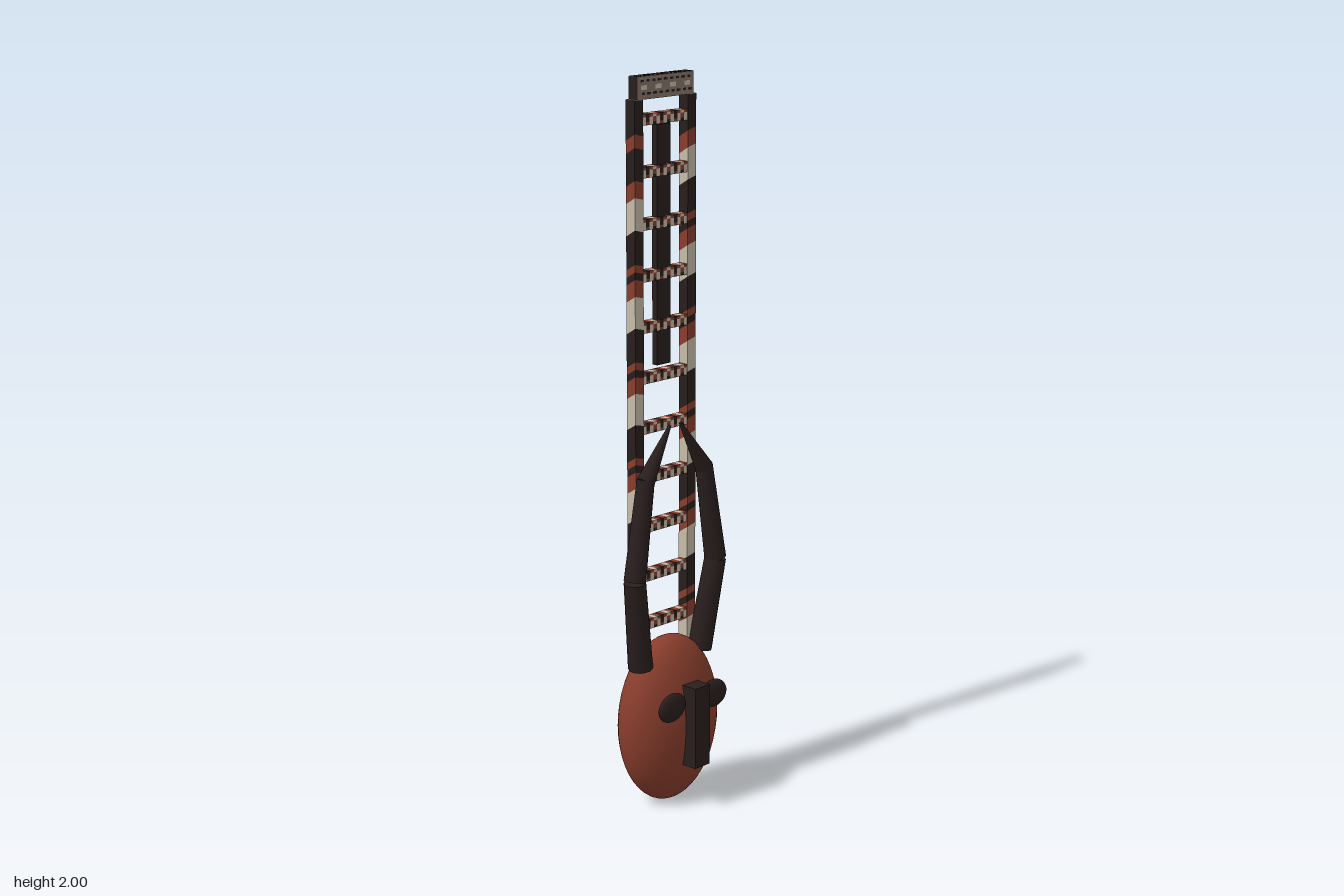
import * as THREE from 'three';

const mat = (name, color) => {
  const m = new THREE.MeshStandardMaterial({ color });
  m.name = name;
  return m;
};

export function createModel() {
  const model = new THREE.Group();
  model.name = 'ladderMask';
  const clay = mat('clay red', 0x883d2c);
  const dark = mat('dark wood', 0x281e1d);
  const cream = mat('cream', 0xc6bba9);
  const rust = mat('rust', 0x883d2c);
  const brown = mat('grey brown', 0x85736a);

  const add = (name, geo, material, x = 0, y = 0, z = 0, parent = model) => {
    const m = new THREE.Mesh(geo, material);
    m.name = name;
    m.position.set(x, y, z);
    parent.add(m);
    return m;
  };
  const box = (name, w, h, d, material, x, y, z, parent) =>
    add(name, new THREE.BoxGeometry(w, h, d), material, x, y, z, parent);

  // Face: flattened egg, long nose and bulging eyes
  const face = new THREE.SphereGeometry(1, 36, 24);
  face.scale(0.171, 0.237, 0.097);
  add('face', face, clay, 0, 0.237, -0.017);
  box('nose', 0.058, 0.23, 0.055, dark, 0, 0.24, 0.086);
  for (const s of [-1, 1]) {
    const eye = new THREE.SphereGeometry(1, 20, 14);
    eye.scale(0.051, 0.04, 0.015);
    add('eye', eye, dark, s * 0.082, 0.307, 0.077).rotation.z = -s * 0.12;
  }

  // Horns: three straight segments curving in to a point
  const limb = (name, a, b, r0, r1) => {
    const p = new THREE.Vector3(...a), q = new THREE.Vector3(...b);
    const dir = q.clone().sub(p);
    const m = add(name, new THREE.CylinderGeometry(r1, r0, dir.length(), 16), dark);
    m.position.copy(p).add(q).multiplyScalar(0.5);
    m.quaternion.setFromUnitVectors(new THREE.Vector3(0, 1, 0), dir.normalize());
  };
  for (const s of [-1, 1]) {
    limb('hornBase', [s * 0.117, 0.41, -0.008], [s * 0.158, 0.665, 0.012], 0.034, 0.03);
    limb('hornMiddle', [s * 0.158, 0.668, 0.012], [s * 0.113, 0.94, 0.01], 0.03, 0.024);
    limb('hornTip', [s * 0.114, 0.932, 0.01], [s * 0.02, 1.072, 0.01], 0.025, 0.004);
  }

  // Ladder rails: slanting bands of paint, staggered from one rail to the other
  const ladder = new THREE.Group();
  ladder.name = 'ladder';
  model.add(ladder);
  const zc = -0.04, depth = 0.032, low = 0.4, high = 1.94;
  const bands = [[rust, 0.045], [cream, 0.085], [dark, 0.09], [rust, 0.02], [dark, 0.02]];
  const heads = { '1': [[dark, 0.1]], '-1': [[dark, 0.1], [rust, 0.035], [dark, 0.085]] };
  for (const s of [-1, 1]) {
    const head = heads[s];
    let top = high;
    for (let i = 0; top > low + 0.001; i++) {
      const [material, h] = head[i] ?? bands[(i - head.length) % bands.length];
      const bottom = Math.max(low, top - h), mid = (top + bottom) / 2;
      const g = new THREE.BoxGeometry(0.032, top - bottom, depth);
      const p = g.attributes.position;
      for (let v = 0; v < p.count; v++) {
        const y = p.getY(v);
        const atEnd = y > 0 ? top === high : bottom === low;
        if (!atEnd) p.setY(v, y + 0.6 * p.getZ(v) + s * 0.25 * p.getX(v));
      }
      g.computeVertexNormals();
      add('railBand', g, material, s * 0.1, mid, zc, ladder);
      top = bottom;
    }
    box('railCap', 0.032, 0.002, depth, brown, s * 0.1, high, zc, ladder);
  }

  // Rungs: three courses of small painted blocks
  const courses = [
    { dy: 0.0105, h: 0.008, paint: [rust, dark, rust, cream] },
    { dy: 0, h: 0.013, paint: [cream, dark, cream, rust] },
    { dy: -0.0105, h: 0.008, paint: [cream, rust, cream, dark] },
  ];
  const cells = 13, cellWidth = 0.17 / cells;
  for (let i = 0; i < 11; i++) {
    const rung = new THREE.Group();
    rung.name = 'rung';
    rung.position.set(0, 0.517 + i * 0.137, zc);
    ladder.add(rung);
    for (const { dy, h, paint } of courses)
      for (let k = 0; k < cells; k++)
        box('rungBlock', cellWidth, h, 0.028, paint[k % 4],
          (k - (cells - 1) / 2) * cellWidth, dy, 0, rung);
  }

  // Central plank between the upper rungs
  box('centrePlank', 0.052, 0.64, 0.018, dark, 0, 1.55, zc, ladder);

  // Top board: dark core with painted faces
  box('topBoard', 0.21, 0.059, 0.03, dark, 0, 1.9695, zc, ladder);
  box('boardTop', 0.21, 0.001, 0.032, brown, 0, 1.9995, zc, ladder);
  for (let k = -1.5; k <= 1.5; k++)
    box('topPatch', 0.024, 0.001, 0.024, cream, k * 0.054, 2, zc, ladder);
  for (let k = -2; k <= 2; k++)
    box('topLine', 0.21, 0.001, 0.0015, dark, 0, 2.0004, zc + k * 0.006, ladder);
  for (const side of [-1, 1]) {
    const z = zc + side * 0.0155;
    box('boardFace', 0.21, 0.059, 0.001, brown, 0, 1.9695, z, ladder);
    for (let k = -4; k <= 4; k++) {
      box('boardDash', 0.012, 0.006, 0.002, dark, k * 0.022, 1.988, z, ladder);
      box('boardDash', 0.012, 0.006, 0.002, dark, k * 0.022 + 0.005, 1.955, z, ladder);
    }
    for (let k = -1.5; k <= 1.5; k++)
      box('boardPatch', 0.022, 0.012, 0.002, cream, k * 0.054, 1.971, z, ladder);
  }
  return model;
}
